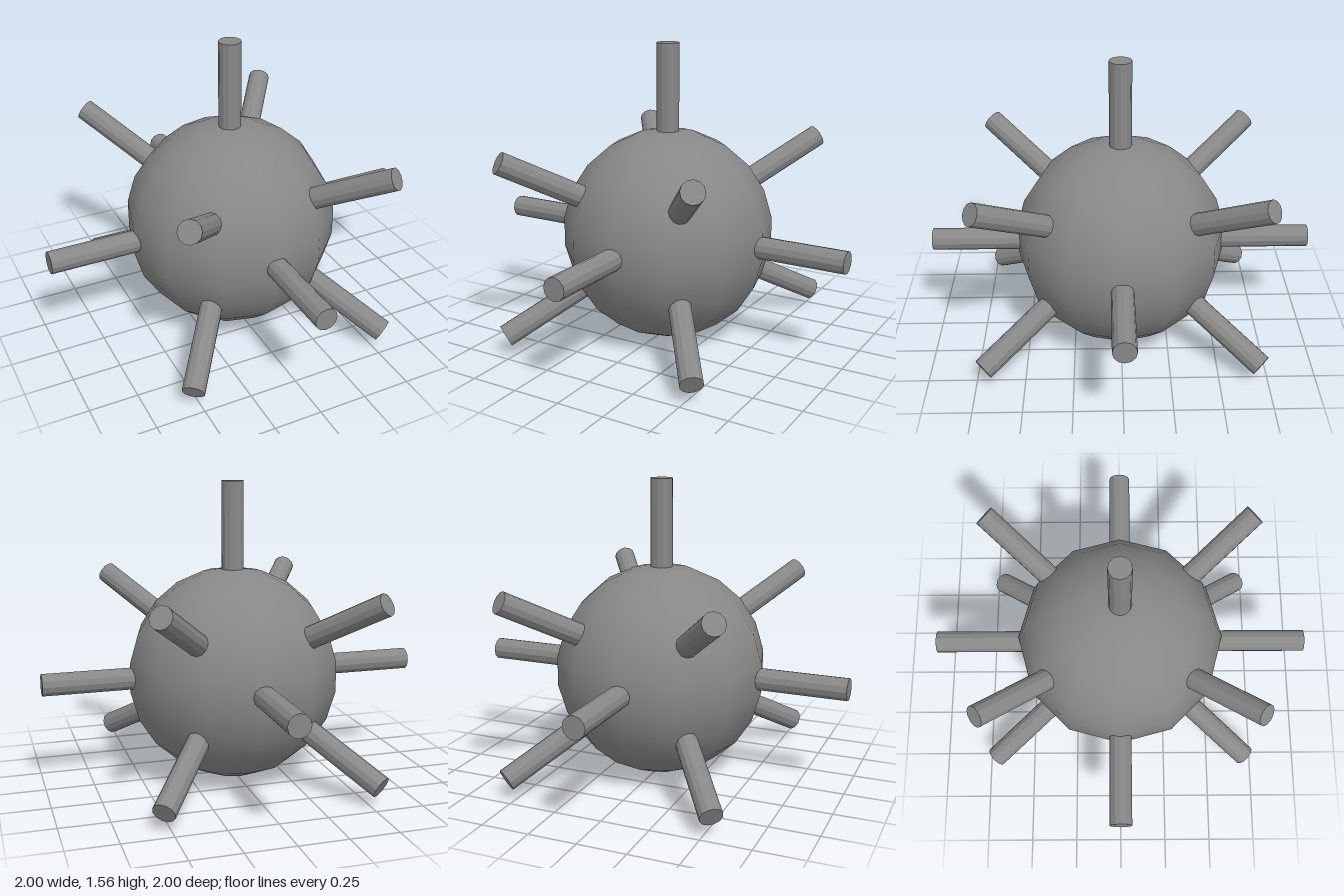
import * as THREE from 'three';
import { toCreasedNormals } from 'three/addons/utils/BufferGeometryUtils.js';

const CENTER_Y = 0.557;
const BALL_RADIUS = 0.555;
const REACH = 1;          // spike tip distance from the ball's centre
const ROOT = 0.4;         // spike root, buried inside the ball

export function createModel() {
  const model = new THREE.Group();
  model.name = 'spikedBall';
  const grey = new THREE.MeshStandardMaterial({ color: 0x888888 });
  grey.name = 'grey';

  // Smooth, coarse round body
  const body = new THREE.Mesh(new THREE.SphereGeometry(BALL_RADIUS, 12, 11), grey);
  body.name = 'body';
  body.position.y = CENTER_Y;
  model.add(body);

  // One faceted rod, shared by every spike
  const rod = new THREE.CylinderGeometry(0.058, 0.058, REACH - ROOT, 12);
  rod.translate(0, (REACH + ROOT) / 2, 0);
  const spikeGeometry = toCreasedNormals(rod, 0.3);

  const up = new THREE.Vector3(0, 1, 0);
  function addSpike(name, x, y, z) {
    const spike = new THREE.Mesh(spikeGeometry, grey);
    spike.name = name;
    spike.position.y = CENTER_Y;
    spike.quaternion.setFromUnitVectors(up, new THREE.Vector3(x, y, z).normalize());
    model.add(spike);
  }

  // Straight spikes on top and around the middle
  addSpike('topSpike', 0, 1, 0);
  addSpike('leftSpike', 1, 0, 0);
  addSpike('rightSpike', -1, 0, 0);
  addSpike('frontSpike', 0, 0, 1);
  addSpike('backSpike', 0, 0, -1);

  // Slanted spikes, one in each octant
  for (const x of [1, -1]) {
    for (const y of [1, -1]) {
      for (const z of [1, -1]) {
        const name = (y > 0 ? 'upper' : 'lower') + (z > 0 ? 'Front' : 'Back') + (x > 0 ? 'Left' : 'Right') + 'Spike';
        addSpike(name, 0.54 * x, 0.452 * y, 0.708 * z);
      }
    }
  }
  return model;
}
